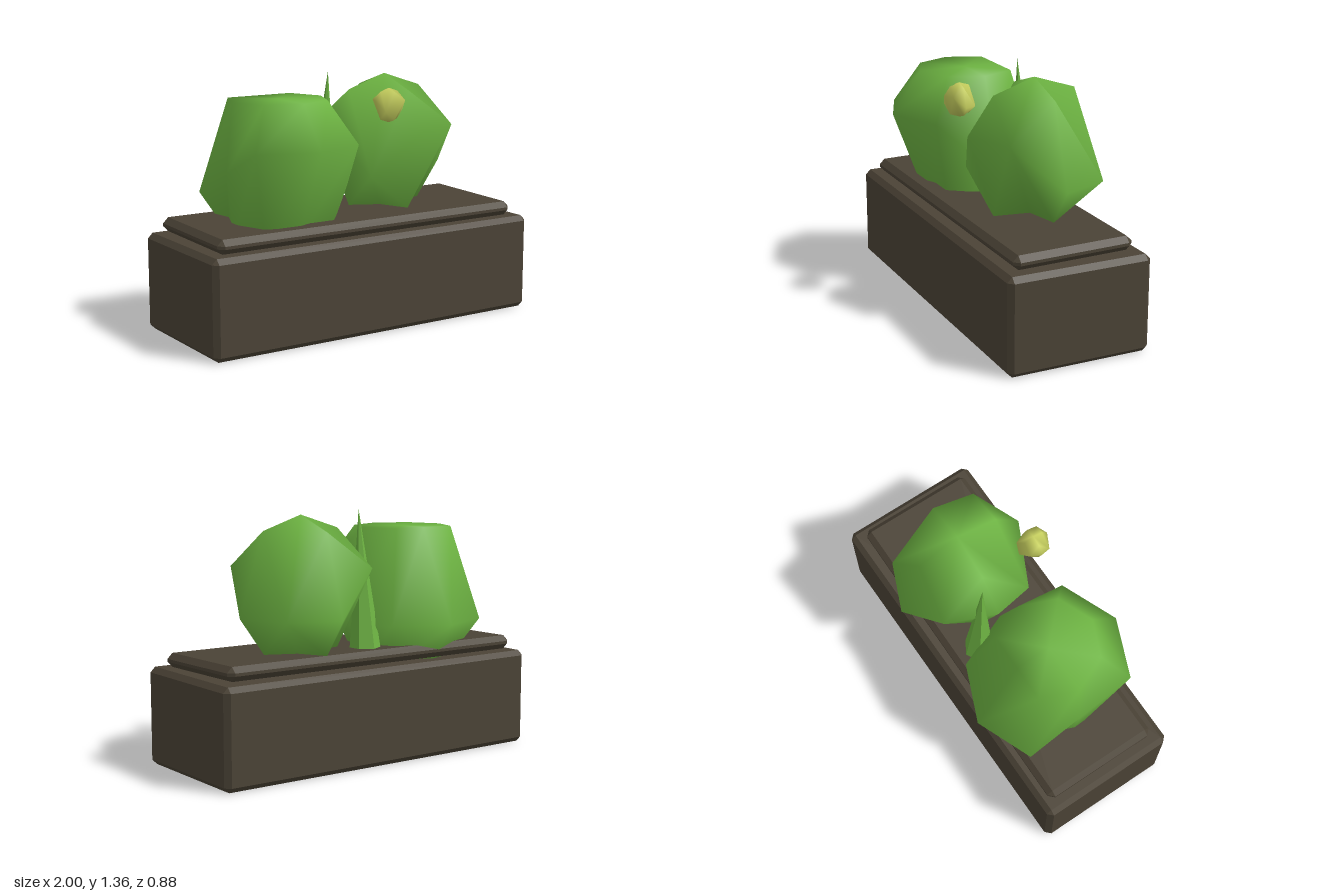
import * as THREE from 'three';
import { ConvexGeometry } from 'three/addons/geometries/ConvexGeometry.js';

const paint = (name, color) => {
  const m = new THREE.MeshStandardMaterial({ color });
  m.name = name;
  return m;
};

const part = (name, geometry, material, x = 0, y = 0, z = 0) => {
  const mesh = new THREE.Mesh(geometry, material);
  mesh.name = name;
  mesh.position.set(x, y, z);
  return mesh;
};

// Box with cut edges; bend(v) may nudge each corner
function chamferedBox(w, h, d, c, bend = () => {}) {
  const points = [];
  for (const sx of [-1, 1]) for (const sy of [-1, 1]) for (const sz of [-1, 1])
    for (let axis = 0; axis < 3; axis++) {
      const cut = [c, c, c];
      cut[axis] = 0;
      const v = new THREE.Vector3(
        sx * (w / 2 - cut[0]), sy * (h / 2 - cut[1]), sz * (d / 2 - cut[2]));
      bend(v);
      points.push(v);
    }
  return new ConvexGeometry(points);
}

function smoothMesh(points, faces) {
  const g = new THREE.BufferGeometry();
  g.setAttribute('position', new THREE.Float32BufferAttribute(points.flat(), 3));
  g.setIndex(faces);
  g.computeVertexNormals();
  return g;
}

// Point on a sphere: k counts eighths of a turn, ring counts fifths from the top
const onSphere = (r, k, ring) => {
  const t = k * Math.PI / 4, p = ring * Math.PI / 5;
  return [r * Math.sin(p) * Math.cos(t), r * Math.cos(p), r * Math.sin(p) * Math.sin(t)];
};

// Ball with four ridges and four valleys that run to the poles
function ridgedBall(r) {
  const points = [[0, r, 0], [0, -r, 0]], faces = [];
  const high = [1, 2, 4, 5];
  for (let k = 0; k < 8; k++) points.push(onSphere(r, k, high.includes(k) ? 2 : 3));
  for (let a = 0; a < 8; a += 2) {
    const ear = points.push(onSphere(r, a, 1)) - 1;
    const low = points.push(onSphere(r, a, 4)) - 1;
    const mid = 2 + a, next = 2 + a + 1, prev = 2 + (a + 7) % 8;
    faces.push(0, ear, prev, 0, next, ear, ear, mid, prev, ear, next, mid,
      low, prev, mid, low, mid, next, 1, prev, low, 1, low, next);
  }
  return smoothMesh(points, faces);
}

// Ball with a level top, a wavy waist and a flattened -x side
function flatToppedBall(r) {
  const points = [], faces = [];
  const high = [1, 2, 3];
  const top = r * Math.cos(Math.PI / 5);
  for (let k = 0; k < 8; k++) points.push(onSphere(r, k, 1));
  for (let k = 0; k < 8; k++) points.push(onSphere(r, k, high.includes(k) ? 2 : 3));
  for (let k = 0; k < 8; k++) points.push(onSphere(r, k, 4));
  // Replace missing corners by the middle of their neighbours
  for (const [i, a, b] of [[6, 5, 7], [12, 11, 13], [18, 17, 19]])
    points[i] = points[a].map((v, n) => (v + points[b][n]) / 2);
  points.push([0, top, 0], [0, -top, 0]);
  for (let i = 0; i < 8; i++) {
    const j = (i + 1) % 8;
    for (const o of [0, 8])
      faces.push(o + i, o + j, o + 8 + j, o + i, o + 8 + j, o + 8 + i);
    faces.push(24, j, i, 25, 16 + i, 16 + j);
  }
  return smoothMesh(points, faces);
}

export function createModel() {
  const model = new THREE.Group();
  model.name = 'planter';
  const brown = paint('dark brown', 0x4b4336);
  const green = paint('leaf green', 0x6db342);
  const yellow = paint('bud yellow', 0xc6cf5e);

  // Trough, its back upper edge a little uneven
  const trough = chamferedBox(2, 0.53, 0.8, 0.028, v => {
    if (v.z < 0 && v.x < 0) v.z += 0.022;
  });
  model.add(part('trough', trough, brown, 0, 0.265, 0));

  // Soil slab, tilted slightly
  const soil = chamferedBox(1.866, 0.076, 0.665, 0.03, v => {
    v.y -= v.z * 0.015;
  });
  model.add(part('soil', soil, brown, 0, 0.573, 0.003));

  // Bushes
  model.add(part('rightBush', flatToppedBall(0.46), green, -0.4, 0.873, 0));
  model.add(part('leftBush', ridgedBall(0.4), green, 0.33, 0.935, -0.065));

  // Pointed shoot between the bushes, its tip leaning forward
  const shoot = new THREE.ConeGeometry(0.085, 0.755, 6).toNonIndexed();
  const pos = shoot.attributes.position;
  for (let i = 0; i < pos.count; i++) {
    const rise = (pos.getY(i) + 0.3775) / 0.755;
    pos.setXYZ(i, pos.getX(i) + 0.012 * rise, pos.getY(i), pos.getZ(i) + 0.045 * rise);
  }
  shoot.computeVertexNormals();
  model.add(part('shoot', shoot, green, -0.012, 0.98, -0.175));

  // Bud
  model.add(part('bud', ridgedBall(0.092), yellow, 0.128, 1.204, 0.268));
  return model;
}
